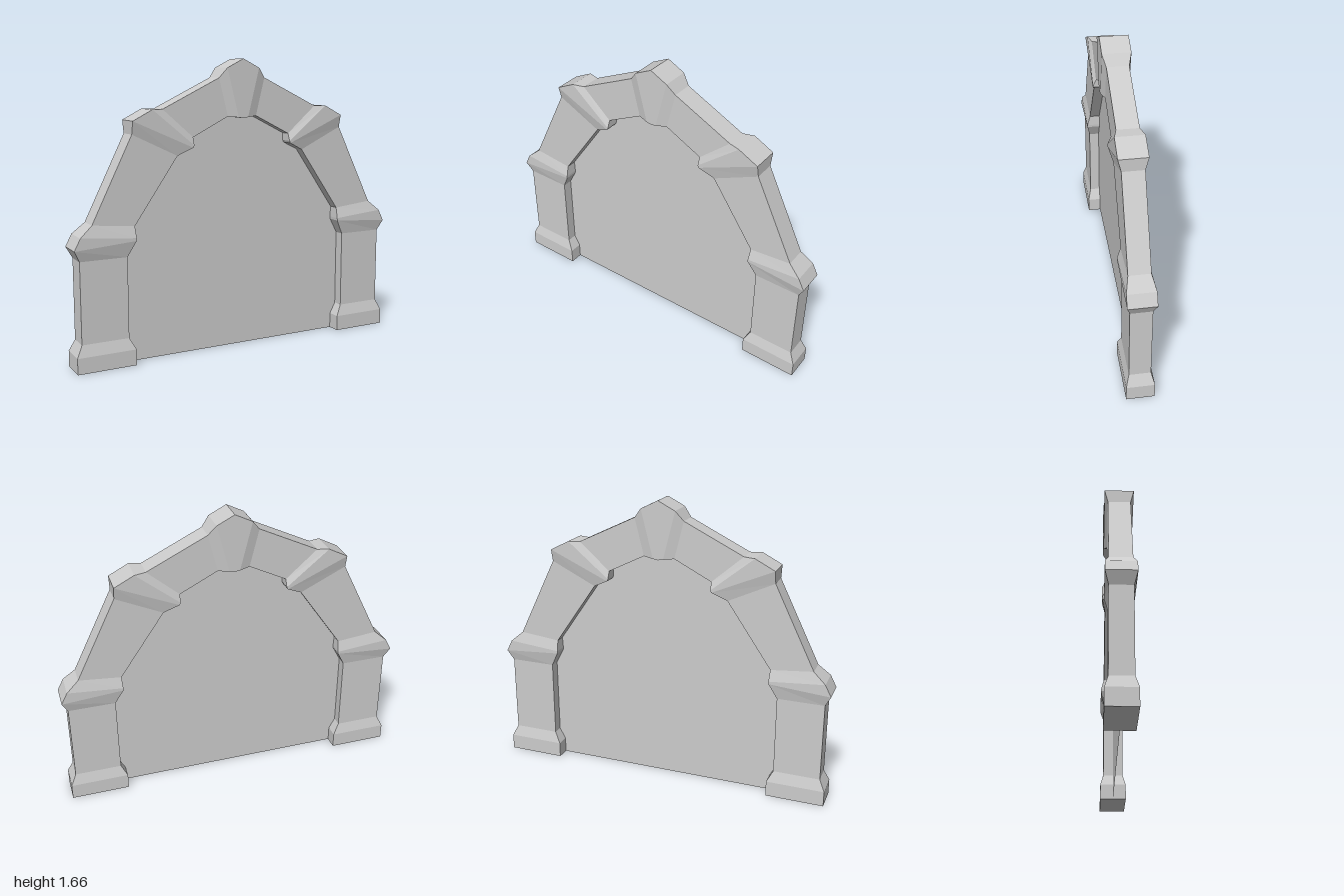
import * as THREE from 'three';

const THICK = 0.078, THIN = 0.06;

// Half of the arch as sections: [innerX, innerY, outerX, outerY, half depth]
const HALF = [
  // foot
  [0.665, 0, 1, 0, THICK],
  [0.665, 0.09, 1, 0.09, THICK],
  [0.70, 0.155, 0.968, 0.155, THIN],
  // pillar and its collar
  [0.70, 0.608, 0.968, 0.608, THIN],
  [0.653, 0.695, 1, 0.67, THICK],
  [0.652, 0.71, 0.965, 0.737, THICK],
  [0.655, 0.773, 0.895, 0.797, THIN],
  // slanted stone and shoulder collar
  [0.40, 1.14, 0.663, 1.265, THIN],
  [0.312, 1.182, 0.663, 1.337, THICK],
  [0.306, 1.195, 0.55, 1.395, THICK],
  [0.305, 1.238, 0.485, 1.395, THIN],
  // keystone
  [0.09, 1.346, 0.144, 1.56, THIN],
  [0.03, 1.34, 0.10, 1.615, THICK],
];
const APEX = [0, 1.335, 0, 1.665, THICK];

function archGeometry() {
  const mirrored = HALF.map(([ix, iy, ox, oy, d]) => [-ix, iy, -ox, oy, d]).reverse();
  const rings = [...HALF, APEX, ...mirrored].map(([ix, iy, ox, oy, d]) => [
    [ox, oy, d], [ix, iy, d], [ix, iy, -d], [ox, oy, -d],
  ]);
  const pos = [];
  const quad = (a, b, c, d) => pos.push(...a, ...b, ...c, ...a, ...c, ...d);
  for (let i = 0; i < rings.length - 1; i++) {
    for (let k = 0; k < 4; k++) {
      const n = (k + 1) % 4;
      quad(rings[i][k], rings[i + 1][k], rings[i + 1][n], rings[i][n]);
    }
  }
  // undersides of both feet
  quad(...rings[0]);
  quad(...[...rings[rings.length - 1]].reverse());
  const geo = new THREE.BufferGeometry();
  geo.setAttribute('position', new THREE.Float32BufferAttribute(pos, 3));
  geo.computeVertexNormals();
  return geo;
}

// Thin sheet filling the opening, with its edge tucked inside the arch
function panelGeometry() {
  const right = HALF.map(([ix, iy, ox, oy]) => new THREE.Vector2(
    ix + (ox - ix) * 0.2, iy + (oy - iy) * 0.2));
  const left = right.map((p) => new THREE.Vector2(-p.x, p.y)).reverse();
  return new THREE.ShapeGeometry(new THREE.Shape([...right, new THREE.Vector2(0, 1.4), ...left]));
}

export function createModel() {
  const group = new THREE.Group();
  group.name = 'archway';

  const arch = new THREE.Mesh(archGeometry(),
    new THREE.MeshStandardMaterial({ color: 0xcccccc, flatShading: true }));
  arch.name = 'archFrame';

  const panel = new THREE.Mesh(panelGeometry(),
    new THREE.MeshStandardMaterial({ color: 0xcccccc, side: THREE.DoubleSide }));
  panel.name = 'archPanel';

  group.add(arch, panel);
  return group;
}
